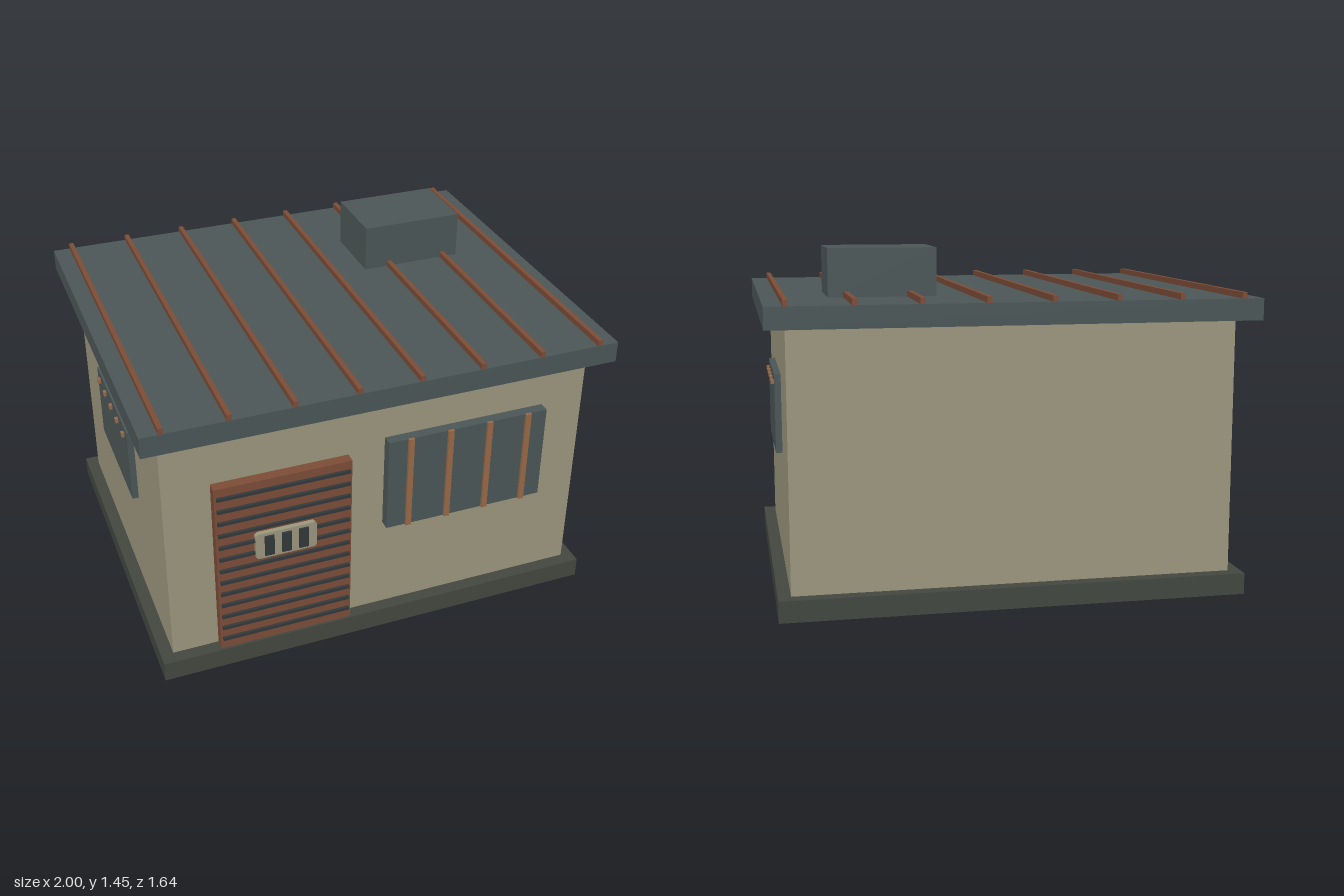
import * as THREE from 'three';

const paint = (color) => new THREE.MeshStandardMaterial({ color });

export function createModel() {
  const model = new THREE.Group();
  const wall = paint(0x9e987f), slate = paint(0x4c5758), stone = paint(0x434840);
  const rust = paint(0x7d4d38), copper = paint(0x9a6a48), dark = paint(0x333a3b);

  // Box given by its minimum and maximum corners
  const box = (name, mat, [x0, y0, z0], [x1, y1, z1], parent = model) => {
    const mesh = new THREE.Mesh(new THREE.BoxGeometry(x1 - x0, y1 - y0, z1 - z0), mat);
    mesh.position.set((x0 + x1) / 2, (y0 + y1) / 2, (z0 + z1) / 2);
    mesh.name = name;
    parent.add(mesh);
    return mesh;
  };
  const group = (name) => {
    const g = new THREE.Group();
    g.name = name;
    model.add(g);
    return g;
  };

  // Main body
  box('foundation', stone, [-0.97, 0, -0.785], [0.97, 0.09, 0.785]);
  box('walls', wall, [-0.917, 0.09, -0.73], [0.917, 1.16, 0.73]);

  // Roof with standing ribs and a rooftop unit
  const roof = group('roof');
  box('roofSlab', slate, [-1, 1.16, -0.82], [1, 1.25, 0.82], roof);
  for (let i = 0; i < 8; i++) {
    const x = -0.917 + i * 0.262;
    box('roofRib', rust, [x - 0.01, 1.25, -0.82], [x + 0.01, 1.275, 0.82], roof);
  }
  box('rooftopUnit', slate, [0.28, 1.25, -0.455], [0.727, 1.45, -0.143], roof);

  // Door with horizontal slats
  const door = group('door');
  box('doorPanel', rust, [-0.72, 0.09, 0.73], [-0.142, 0.912, 0.775], door);
  for (let i = 0; i < 13; i++) {
    const y = 0.145 + i * 0.0601;
    box('doorSlat', dark, [-0.711, y - 0.007, 0.775], [-0.151, y + 0.007, 0.787], door);
  }

  // Door plate with clipped corners and three openings
  const w = 0.13, h = 0.062, c = 0.01;
  const outline = new THREE.Shape([
    [-w + c, -h], [w - c, -h], [w, -h + c], [w, h - c],
    [w - c, h], [-w + c, h], [-w, h - c], [-w, -h + c],
  ].map(([x, y]) => new THREE.Vector2(x, y)));
  const plate = new THREE.Mesh(
    new THREE.ExtrudeGeometry(outline, { depth: 0.02, bevelEnabled: false }), wall);
  plate.position.set(-0.431, 0.601, 0.775);
  plate.name = 'doorPlate';
  door.add(plate);
  for (const x of [-0.504, -0.431, -0.358]) {
    box('doorPlatePane', dark, [x - 0.02, 0.553, 0.79], [x + 0.02, 0.649, 0.803], door);
  }

  // Front window with vertical bars
  const front = group('frontWindow');
  box('frontPane', slate, [0.016, 0.527, 0.73], [0.727, 0.957, 0.775], front);
  for (let i = 0; i < 4; i++) {
    const x = 0.111 + i * 0.176;
    box('frontBar', copper, [x - 0.012, 0.527, 0.775], [x + 0.012, 0.96, 0.787], front);
  }

  // Matching side shutters with a row of pegs
  for (const side of [-1, 1]) {
    const shutter = group(side > 0 ? 'leftShutter' : 'rightShutter');
    const place = (name, mat, a, b) => {
      box(name, mat, a, b, shutter).position.x *= side;
    };
    place('shutterPanel', slate, [0.917, 0.582, -0.28], [0.944, 0.917, 0.28]);
    for (let i = -2; i <= 2; i++) {
      const z = i * 0.1125;
      place('shutterPeg', copper, [0.94, 0.87, z - 0.01], [0.957, 0.89, z + 0.01]);
    }
  }
  return model;
}
